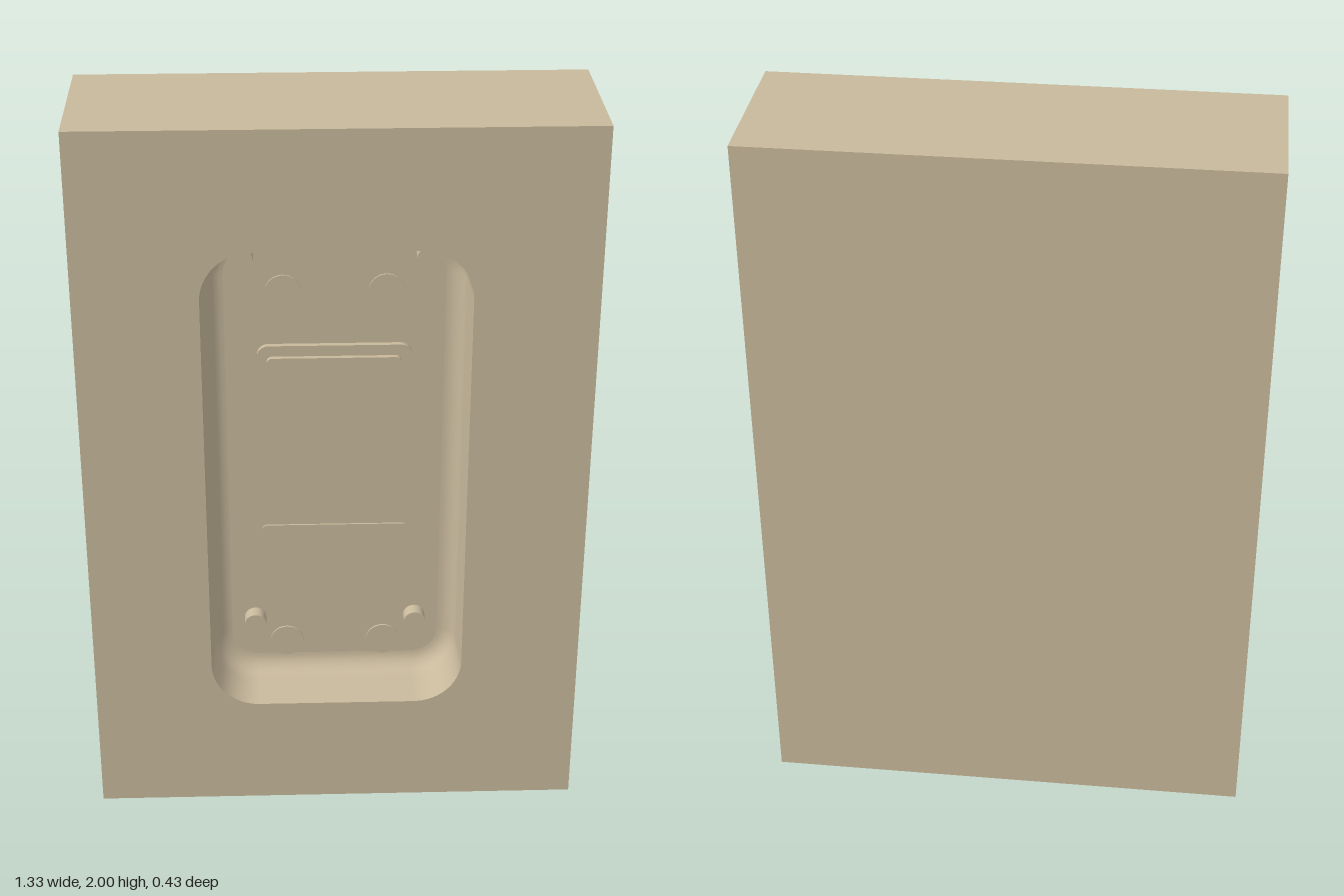
import * as THREE from 'three';

const W = 1.333, H = 2, D = 0.433;
const FRONT = D / 2;
const FLOOR = FRONT - 0.17;
const material = new THREE.MeshStandardMaterial({ color: 0xc8b99c });

// Counter-clockwise outline of a rounded rectangle
function roundedLoop(cx, cy, hw, hh, r, steps = 12) {
  const points = [];
  [[1, 1], [-1, 1], [-1, -1], [1, -1]].forEach(([sx, sy], q) => {
    for (let i = 0; i <= steps; i++) {
      const a = (q + i / steps) * Math.PI / 2;
      points.push(new THREE.Vector2(
        cx + sx * (hw - r) + r * Math.cos(a),
        cy + sy * (hh - r) + r * Math.sin(a)));
    }
  });
  return points;
}

// Pocket outline, moved inward by an inset
const pocketLoop = (inset) => roundedLoop(0, 1, 0.345 - inset, 0.68 - inset, 0.13 - inset);

// Skin between pocket outlines, each given as [inset, z]
function pocketWall(levels) {
  const positions = [], index = [];
  const n = pocketLoop(0).length;
  levels.forEach(([inset, z], k) => {
    pocketLoop(inset).forEach((p) => positions.push(p.x, p.y, z));
    if (k === 0) return;
    for (let i = 0; i < n; i++) {
      const j = (i + 1) % n, u = (k - 1) * n, v = k * n;
      index.push(u + i, u + j, v + j, u + i, v + j, v + i);
    }
  });
  const g = new THREE.BufferGeometry();
  g.setAttribute('position', new THREE.Float32BufferAttribute(positions, 3));
  g.setIndex(index);
  g.computeVertexNormals();
  return g;
}

export function createModel() {
  const group = new THREE.Group();
  const add = (name, geometry, x = 0, y = 0, z = 0) => {
    const mesh = new THREE.Mesh(geometry, material);
    mesh.name = name;
    mesh.position.set(x, y, z);
    group.add(mesh);
    return mesh;
  };

  // Block sides and back, without the front face
  const block = new THREE.BoxGeometry(W, H, D);
  const faces = Array.from(block.index.array);
  faces.splice(24, 6);
  block.setIndex(faces);
  block.clearGroups();
  add('block', block, 0, 1, 0);

  // Front face around the pocket opening
  const front = new THREE.Shape([
    new THREE.Vector2(-W / 2, 0), new THREE.Vector2(W / 2, 0),
    new THREE.Vector2(W / 2, H), new THREE.Vector2(-W / 2, H)]);
  front.holes.push(new THREE.Path(pocketLoop(0)));
  add('frontFace', new THREE.ShapeGeometry(front), 0, 0, FRONT);

  // Slightly tapered pocket wall with a rounded foot
  const draft = 0.006, fillet = 0.05;
  const levels = [[0, FRONT], [draft * 0.95, FLOOR + fillet + 0.006]];
  for (let i = 0; i <= 8; i++) {
    const a = i / 8 * Math.PI / 2;
    levels.push([draft + fillet * (1 - Math.cos(a)), FLOOR + fillet * (1 - Math.sin(a))]);
  }
  add('pocketWall', pocketWall(levels));
  add('pocketFloor', new THREE.ShapeGeometry(new THREE.Shape(pocketLoop(draft + fillet))), 0, 0, FLOOR);

  // Low raised plates on the floor
  const plate = (name, x0, x1, y0, y1, r, z, height) => {
    const shape = new THREE.Shape(
      roundedLoop((x0 + x1) / 2, (y0 + y1) / 2, (x1 - x0) / 2, (y1 - y0) / 2, r, 6));
    add(name, new THREE.ExtrudeGeometry(shape, { depth: height, bevelEnabled: false }), 0, 0, z);
  };
  plate('windowFrame', -0.205, 0.203, 0.86, 1.35, 0.03, FLOOR, 0.015);
  plate('windowPanel', -0.18, 0.175, 0.89, 1.32, 0.015, FLOOR + 0.015, 0.013);
  plate('lowerPlate', -0.2, 0.2, 0.58, 0.8, 0.015, FLOOR, 0.005);

  // Round pads and locating pins
  const disc = (name, x, y, r, height) => {
    const g = new THREE.CylinderGeometry(r, r, height, 32);
    g.rotateX(Math.PI / 2);
    add(name, g, x, y, FLOOR + height / 2);
  };
  for (const side of [-1, 1]) {
    disc('upperPad', side * 0.135, 1.5, 0.047, 0.005);
    disc('lowerPad', side * 0.135, 0.42, 0.047, 0.005);
    disc('upperPin', side * 0.24, 1.605, 0.03, 0.04);
    disc('lowerPin', side * 0.223, 0.5, 0.03, 0.04);
  }
  return group;
}
